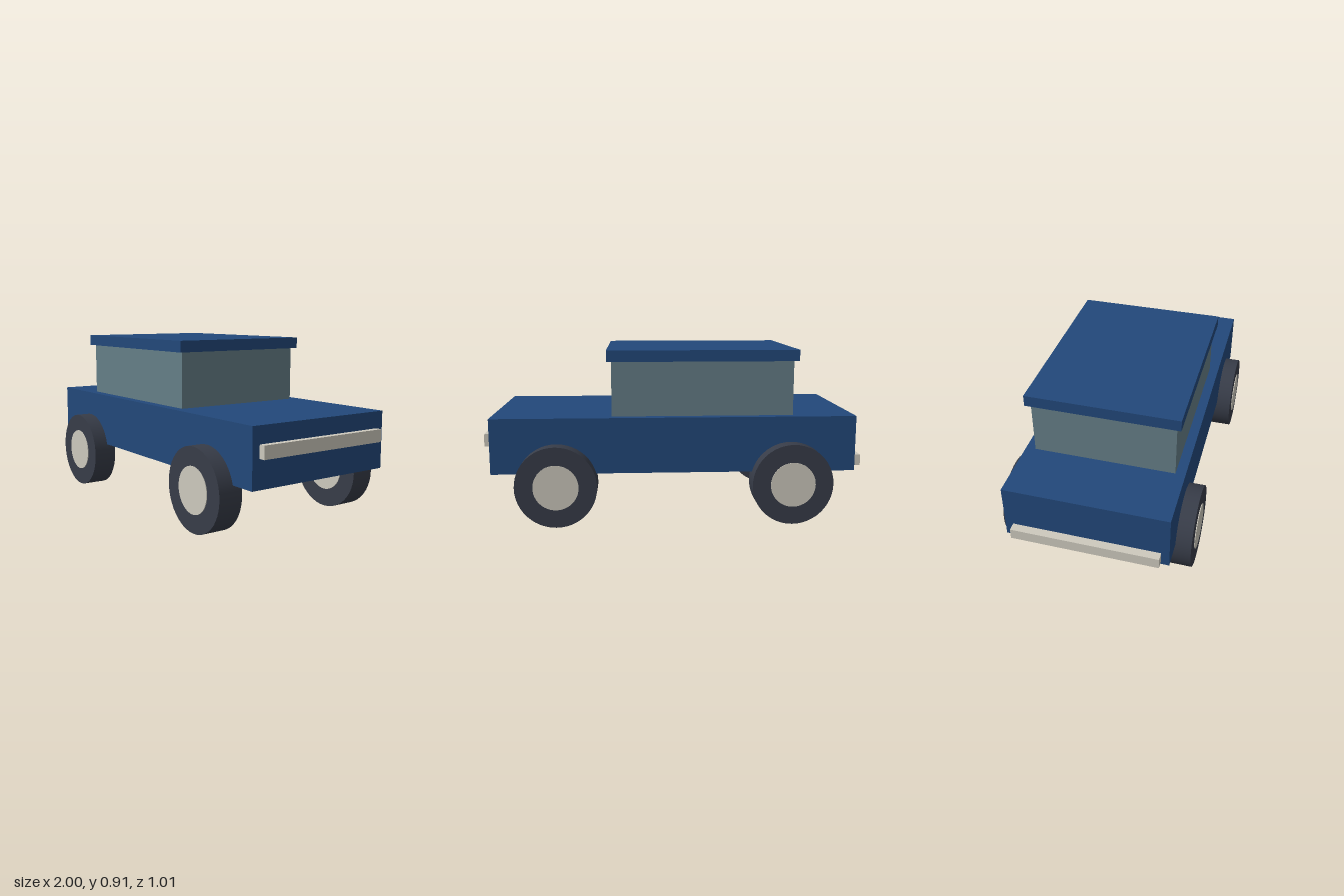
import * as THREE from 'three';

const material = (name, color) => {
  const m = new THREE.MeshStandardMaterial({ color });
  m.name = name;
  return m;
};

export function createModel() {
  const paint = material('blue paint', 0x22487a);
  const glass = material('grey green glass', 0x657e87);
  const rubber = material('dark rubber', 0x373c48);
  const trim = material('pale trim', 0xcdc9bd);

  const car = new THREE.Group();
  car.name = 'car';

  // Box given by its x range, y range and half depth
  const box = (name, mat, x0, x1, y0, y1, halfZ) => {
    const mesh = new THREE.Mesh(new THREE.BoxGeometry(x1 - x0, y1 - y0, halfZ * 2), mat);
    mesh.position.set((x0 + x1) / 2, (y0 + y1) / 2, 0);
    mesh.name = name;
    car.add(mesh);
  };

  // Body, cabin and roof
  box('body', paint, -0.957, 0.968, 0.267, 0.561, 0.419);
  box('cabin', glass, -0.628, 0.334, 0.561, 0.85, 0.368);
  box('roof', paint, -0.652, 0.358, 0.85, 0.909, 0.392);

  // Grille bar at the nose (+x), bumper at the tail (-x)
  box('grilleBar', trim, 0.968, 1, 0.41, 0.475, 0.378);
  box('rearBumper', trim, -1, -0.957, 0.284, 0.342, 0.378);

  // Wheels: a tyre with a hub standing slightly proud on both sides
  const tyreGeometry = new THREE.CylinderGeometry(0.213, 0.213, 0.13, 48).rotateX(Math.PI / 2);
  const hubGeometry = new THREE.CylinderGeometry(0.118, 0.118, 0.138, 48).rotateX(Math.PI / 2);
  for (const [end, x] of [['rear', -0.612], ['front', 0.623]]) {
    for (const [side, sign] of [['Right', 1], ['Left', -1]]) {
      const wheel = new THREE.Group();
      wheel.name = `${end}${side}Wheel`;
      const tyre = new THREE.Mesh(tyreGeometry, rubber);
      tyre.name = 'tyre';
      const hub = new THREE.Mesh(hubGeometry, trim);
      hub.name = 'hub';
      wheel.add(tyre, hub);
      wheel.position.set(x, 0.213, sign * 0.435);
      car.add(wheel);
    }
  }
  return car;
}
